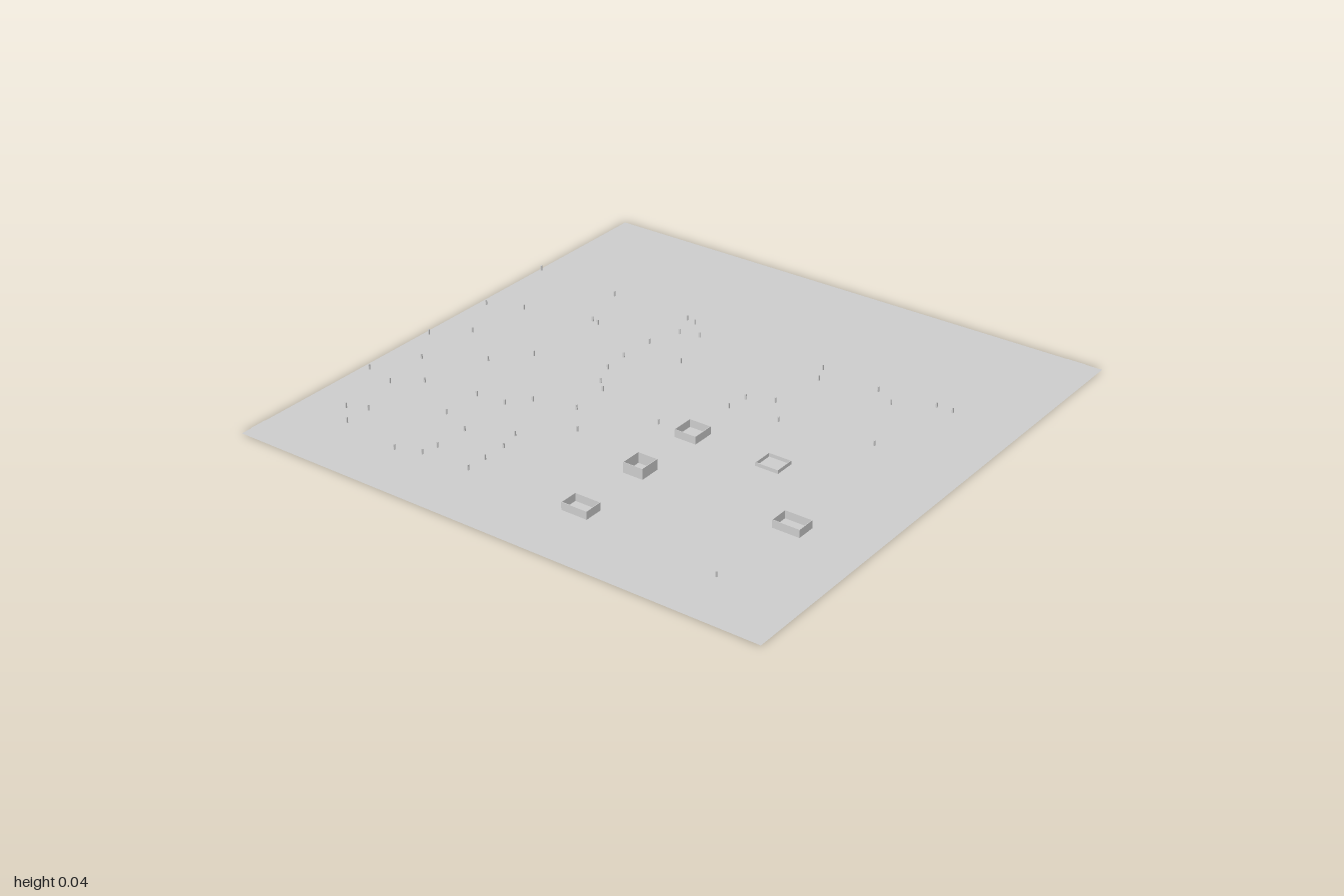
import * as THREE from 'three';

const grey = new THREE.MeshStandardMaterial({ color: 0xcccccc, side: THREE.DoubleSide });
grey.name = 'plain grey';

// Flat rectangle lying between two corners
function plate(name, x0, x1, z0, z1, y) {
  const mesh = new THREE.Mesh(new THREE.PlaneGeometry(x1 - x0, z1 - z0).rotateX(-Math.PI / 2), grey);
  mesh.position.set((x0 + x1) / 2, y, (z0 + z1) / 2);
  mesh.name = name;
  return mesh;
}

// Four thin walls, open at the top
function walls(name, x0, x1, z0, z1, height) {
  const group = new THREE.Group();
  group.name = name;
  const t = 0.002;
  const add = (w, d, x, z) => {
    const mesh = new THREE.Mesh(new THREE.BoxGeometry(w, height, d), grey);
    mesh.position.set(x, height / 2, z);
    mesh.name = 'wall';
    group.add(mesh);
  };
  for (const z of [z0 + t / 2, z1 - t / 2]) add(x1 - x0, t, (x0 + x1) / 2, z);
  for (const x of [x0 + t / 2, x1 - t / 2]) add(t, z1 - z0 - 2 * t, x, (z0 + z1) / 2);
  return group;
}

// Pole positions as x, z pairs
const poles = [
  -.75, -.78, -.68, -.85, -.65, -.78, -.47, -.85, -.44, -.97, -.28, -.88, -.13, -.98, -.03, -.87,
  .16, -.97, .21, -.84, .49, -.99, .48, -.65, -.16, -.69, -.40, -.76, -.52, -.56, -.37, -.56,
  -.04, -.59, .28, -.59, .27, -.56, -.79, -.54, -.76, -.45, -.70, -.44, -.57, -.44, -.36, -.45,
  -.29, -.39, .03, -.33, .13, -.34, .26, -.33, .48, -.33, .47, -.29, -.67, -.27, -.75, -.27,
  -.58, -.27, -.50, -.29, -.25, -.24, -.06, -.29, -.10, -.25, .38, -.29, .40, -.22, .21, -.16,
  -.36, -.15, -.17, .03, .05, .15, .13, .16, .17, .25, .45, .25, .07, .33, .38, .28,
  .12, .66, .45, .75, .38, .56, .43, .48, .45, .69, -.79, .70,
];

export function createModel() {
  const model = new THREE.Group();
  model.name = 'sitePlan';

  // Ground sheet and the two border roads
  model.add(plate('ground', -1, 1, -1, 1, 0));
  model.add(plate('frontRoad', -1, 1, 0.87, 0.94, 0.001));
  model.add(plate('sideRoad', -0.96, -0.9, -1, 1, 0.0015));

  // Building shells
  [
    [-0.765, -0.697, 0.11, 0.207, 0.028],
    [-0.48, -0.402, 0.125, 0.2, 0.038],
    [-0.207, -0.123, 0.12, 0.203, 0.028],
    [-0.205, -0.13, 0.43, 0.515, 0.013],
    [-0.475, -0.406, 0.677, 0.776, 0.028],
  ].forEach((b, i) => model.add(walls('building' + (i + 1), ...b)));

  // Scattered poles
  const poleShape = new THREE.BoxGeometry(0.005, 0.019, 0.005);
  for (let i = 0; i < poles.length; i += 2) {
    const pole = new THREE.Mesh(poleShape, grey);
    pole.position.set(poles[i], 0.0095, poles[i + 1]);
    pole.name = 'pole';
    model.add(pole);
  }
  return model;
}
